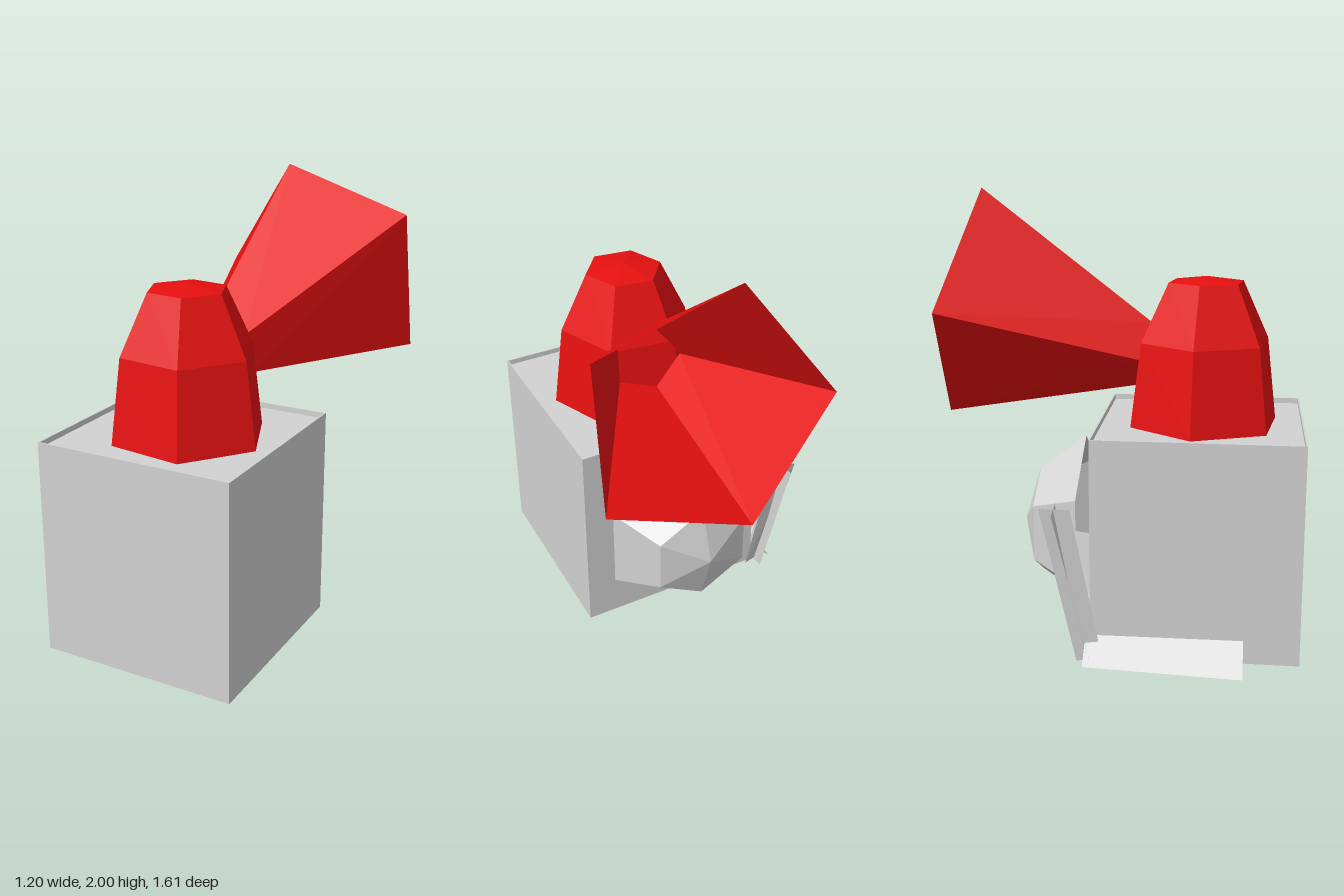
import * as THREE from 'three';

const red = new THREE.MeshStandardMaterial({ color: 0xe61010, side: THREE.DoubleSide });
red.name = 'red';
const grey = new THREE.MeshStandardMaterial({ color: 0xd2d2d2, side: THREE.DoubleSide });
grey.name = 'light grey';

export function createModel() {
  const group = new THREE.Group();

  // Adds a mesh with hard facets
  const add = (name, geometry, material) => {
    const flat = geometry.index ? geometry.toNonIndexed() : geometry;
    flat.computeVertexNormals();
    const mesh = new THREE.Mesh(flat, material);
    mesh.name = name;
    group.add(mesh);
    return mesh;
  };

  // Surface made of quads, each given as four corners
  const quads = (list) => {
    const pos = [];
    for (const [a, b, c, d] of list) pos.push(...a, ...b, ...c, ...a, ...c, ...d);
    const g = new THREE.BufferGeometry();
    g.setAttribute('position', new THREE.Float32BufferAttribute(pos, 3));
    return g;
  };

  // Six-sided turned shape from [radius, height] pairs
  const turned = (profile, phase) => new THREE.LatheGeometry(
    profile.map(([r, y]) => new THREE.Vector2(r, y)), 6, phase);

  // Box with a slightly sunken lid inside a thin rim
  const w = 0.9, cx = -0.02, cz = 0.355;
  add('box', new THREE.BoxGeometry(w, 0.945, w), grey).position.set(cx, 0.4925, cz);
  const square = (s) => [[-s, -s], [s, -s], [s, s], [-s, s]].map(([x, y]) => new THREE.Vector2(x, y));
  const rimShape = new THREE.Shape(square(w / 2));
  rimShape.holes.push(new THREE.Path(square(w / 2 - 0.006)));
  const rim = new THREE.ExtrudeGeometry(rimShape, { depth: 0.025, bevelEnabled: false });
  rim.rotateX(-Math.PI / 2);
  add('boxRim', rim, grey).position.set(cx, 0.965, cz);

  // Faceted dome on the lid
  add('dome', turned([[0.347, 0.965], [0.3, 1.34], [0.175, 1.6], [0, 1.625]], 0.394), red)
    .position.set(-0.005, 0, 0.365);

  // Open five-sided horn flaring from the dome
  const mouth = [[-0.02, 2, -0.625], [0.585, 1.81, -0.587], [0.597, 1.18, -0.7],
    [0, 0.99, -0.805], [-0.38, 1.495, -0.765]];
  const neck = [[-0.03, 1.42, 0.13], [0.14, 1.365, 0.135], [0.15, 1.19, 0.1],
    [-0.02, 1.135, 0.07], [-0.14, 1.27, 0.08]];
  add('horn', quads(mouth.map((m, i) => {
    const j = (i + 1) % 5;
    return [m, neck[i], neck[j], mouth[j]];
  })), red);

  // Faceted bulge behind the box
  const bulge = turned([[0.4, 0], [0.25, 0.21], [0, 0.285]], 0);
  bulge.rotateX(-Math.PI / 2);
  add('backBulge', bulge, grey).position.set(-0.02, 0.49, -0.17);

  // Crossed upright slats by the rear corner
  add('uprightSlatWide', quads([[[-0.6, 0.695, -0.235], [-0.56, 0.02, -0.08],
    [-0.43, 0.03, -0.12], [-0.47, 0.705, -0.24]]]), grey);
  add('uprightSlatDeep', quads([[[-0.535, 0.705, -0.3], [-0.5, 0.01, -0.15],
    [-0.487, 0.02, -0.04], [-0.52, 0.7, -0.17]]]), grey);

  // Slat lying on the ground, leaning on the box
  add('groundSlat', quads([[[-0.585, 0, 0.565], [-0.575, 0.018, -0.115],
    [-0.46, 0.13, -0.115], [-0.46, 0.135, 0.565]]]), grey);

  return group;
}
